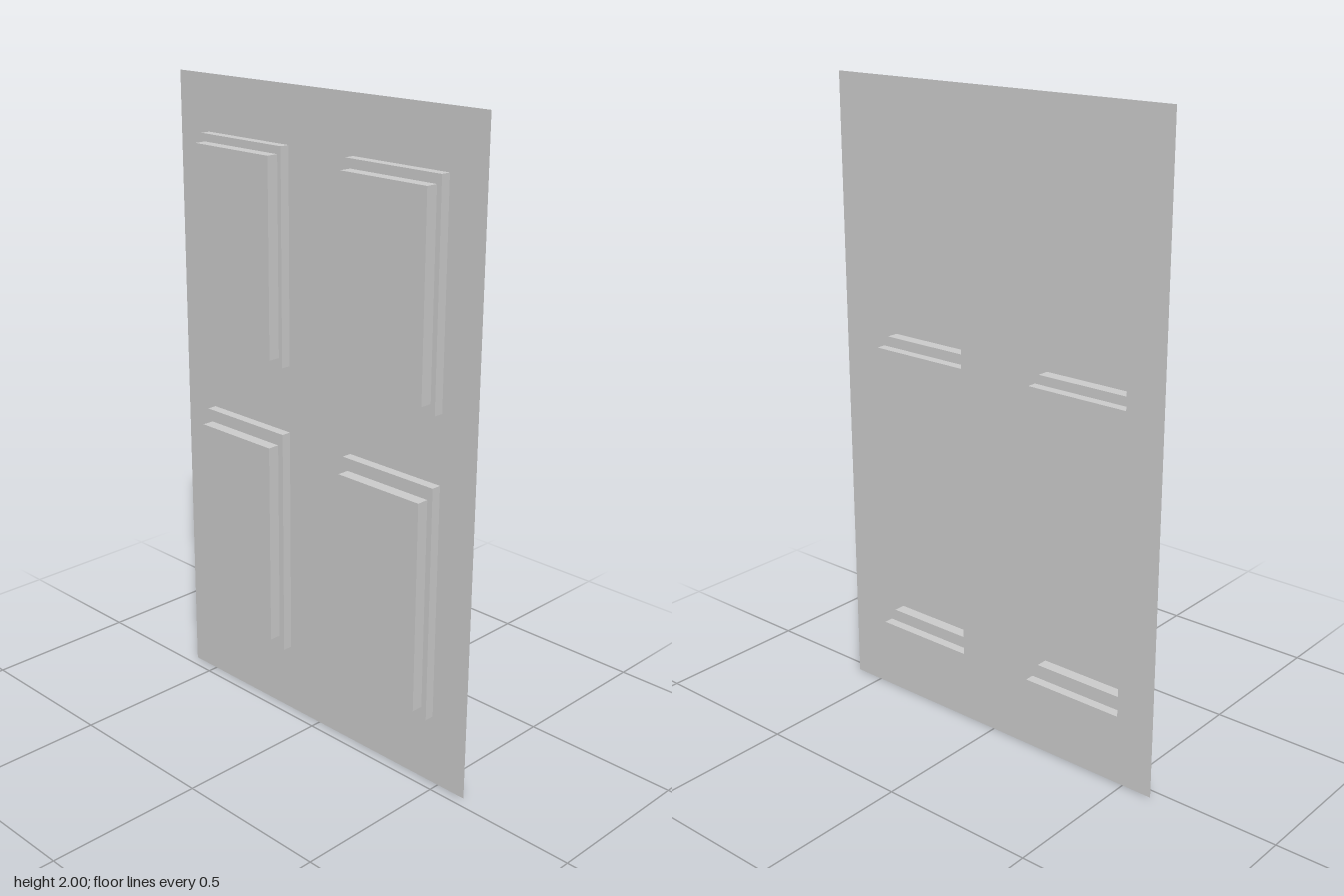
import * as THREE from 'three';

const FACE = 0.034, LEDGE = 0.003, BACK = -0.035; // depths of the pressed sheet

// Rectangles as [u0, u1, y0, y1], with u = -z while drawing on the flat sheet
const recesses = [
  { name: 'upperFrontPanel', outer: [-0.472, -0.125, 1.168, 1.828], inner: [-0.456, -0.144, 1.2, 1.8] },
  { name: 'upperBackPanel', outer: [0.13, 0.474, 1.168, 1.828], inner: [0.144, 0.458, 1.197, 1.804] },
  { name: 'lowerFrontPanel', outer: [-0.472, -0.125, 0.222, 0.956], inner: [-0.454, -0.145, 0.26, 0.917] },
  { name: 'lowerBackPanel', outer: [0.13, 0.474, 0.222, 0.956], inner: [0.15, 0.454, 0.266, 0.917] },
];

const corners = ([u0, u1, y0, y1]) => [[u0, y0], [u1, y0], [u1, y1], [u0, y1]];
const points = (rect) => corners(rect).map(([u, y]) => new THREE.Vector2(u, y));

// Stepped tray: wall, ledge, wall and floor skinned between rectangular loops
function trayGeometry(outer, inner) {
  const loops = [[outer, FACE], [outer, LEDGE], [inner, LEDGE], [inner, BACK]]
    .map(([rect, w]) => corners(rect).map(([u, y]) => [u, y, w]));
  const pos = [];
  const quad = (a, b, c, d) => pos.push(...a, ...b, ...c, ...a, ...c, ...d);
  for (let k = 0; k < loops.length - 1; k++) {
    for (let i = 0; i < 4; i++) {
      const j = (i + 1) % 4;
      quad(loops[k][i], loops[k][j], loops[k + 1][j], loops[k + 1][i]);
    }
  }
  quad(...loops[3]);
  const geo = new THREE.BufferGeometry();
  geo.setAttribute('position', new THREE.Float32BufferAttribute(pos, 3));
  geo.computeVertexNormals();
  return geo;
}

export function createModel() {
  const door = new THREE.Group();
  door.name = 'panelDoor';
  const material = new THREE.MeshStandardMaterial({ color: 0xcccccc, side: THREE.DoubleSide });
  const add = (name, geo) => {
    const mesh = new THREE.Mesh(geo.rotateY(Math.PI / 2), material); // sheet faces +x
    mesh.name = name;
    door.add(mesh);
  };

  // Thin door sheet with four openings
  const sheet = new THREE.Shape(points([-0.6, 0.6, 0, 2]));
  for (const r of recesses) sheet.holes.push(new THREE.Path(points(r.outer)));
  add('doorSheet', new THREE.ShapeGeometry(sheet).translate(0, 0, FACE));

  // Recessed panels, which stand out on the other side
  for (const r of recesses) add(r.name, trayGeometry(r.outer, r.inner));
  return door;
}
